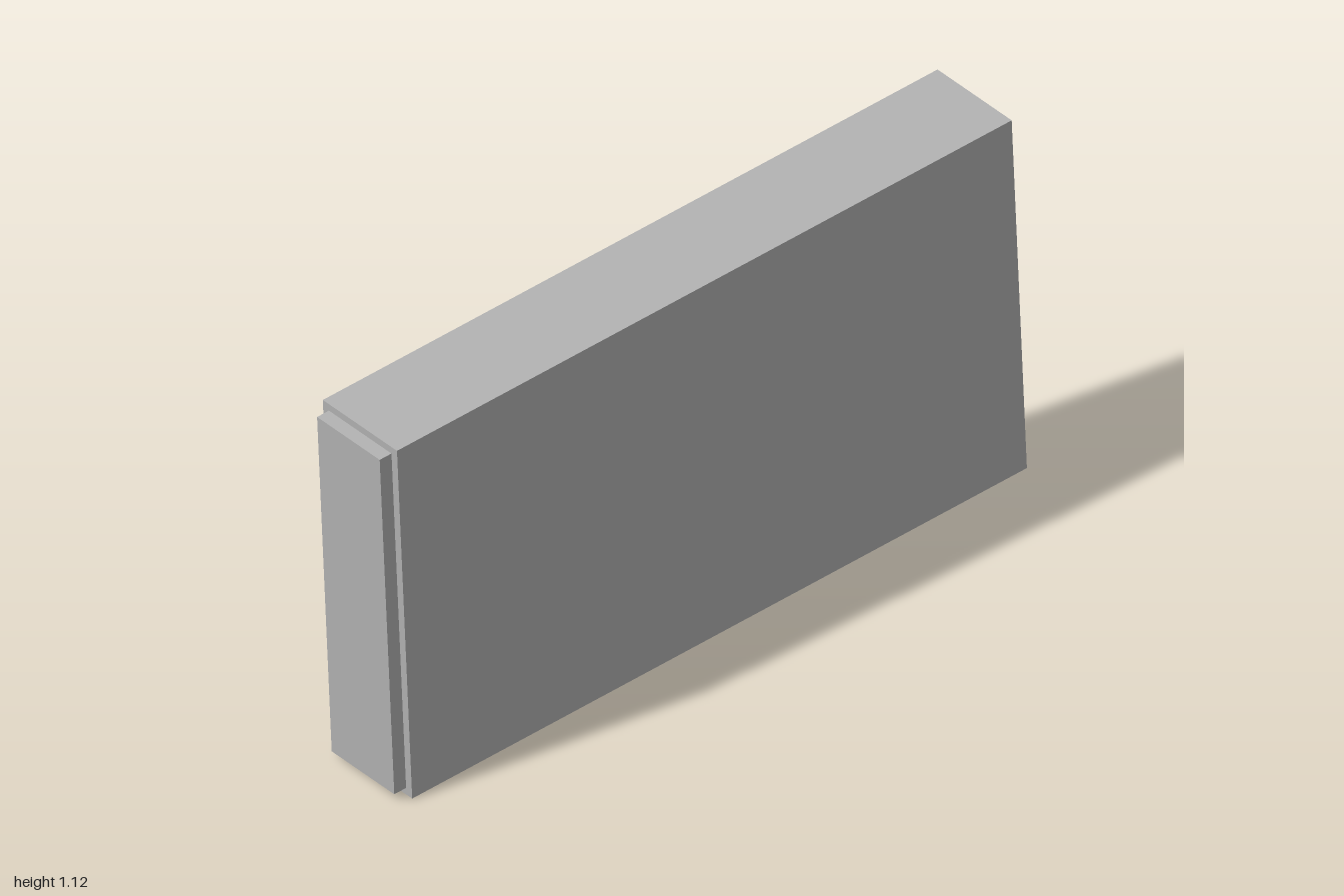
import * as THREE from 'three';

export function createModel() {
  const W = 1.926, H = 1.043, D = 0.275, T = 0.02;
  const COLS = 7, ROWS = 3;
  const grey = new THREE.MeshStandardMaterial({ color: 0xb2b2b2 });
  grey.name = 'plain grey';

  const model = new THREE.Group();
  model.name = 'tiltedBookcase';
  const bookcase = new THREE.Group();
  bookcase.name = 'bookcase';
  model.add(bookcase);

  function box(name, w, h, d, x, y, z, parent = bookcase) {
    const mesh = new THREE.Mesh(new THREE.BoxGeometry(w, h, d), grey);
    mesh.name = name;
    mesh.position.set(x, y, z);
    parent.add(mesh);
    return mesh;
  }

  // Seeded generator for the book sizes
  let seed = 7;
  const random = (min, max) => {
    seed = (seed * 16807) % 2147483647;
    return min + (max - min) * (seed / 2147483647);
  };

  // Outer case, closed at +z and open at -z
  box('closedPanel', W, H, T, 0, 0, D / 2 - T / 2);
  const innerDepth = D - T, innerZ = -T / 2;
  for (const s of [-1, 1]) {
    box('longSide', W, T, innerDepth, 0, s * (H - T) / 2, innerZ);
    box('endBoard', T, H - 2 * T, innerDepth, s * (W - T) / 2, 0, innerZ);
  }

  // Plinth at the -x end, inset all round
  box('plinth', 0.037, H - 0.04, 0.232, -W / 2 - 0.0185, 0, 0);

  // Dividers, set back a hair at the crossings
  const pitchX = (W - T) / COLS, pitchY = (H - T) / ROWS;
  for (let r = 1; r < ROWS; r++) {
    box('longDivider', W - 2 * T, T, innerDepth, 0, -H / 2 + T / 2 + r * pitchY, innerZ);
  }
  for (let c = 1; c < COLS; c++) {
    for (let r = 0; r < ROWS; r++) {
      box('shelf', T, pitchY - T, innerDepth,
        -W / 2 + T / 2 + c * pitchX, -H / 2 + T / 2 + (r + 0.5) * pitchY, innerZ);
    }
  }

  // Rows of books: feet against the -x shelf, thickness along y
  const empty = ['0,2', '6,2', '3,1'];
  for (let c = 0; c < COLS; c++) {
    for (let r = 0; r < ROWS; r++) {
      if (empty.includes(`${c},${r}`)) continue;
      const books = new THREE.Group();
      books.name = 'bookRow';
      bookcase.add(books);
      const x0 = -W / 2 + T + c * pitchX;
      const top = -H / 2 + (r + 1) * pitchY - 0.004;
      let y = -H / 2 + T + r * pitchY + 0.002;
      while (y < top - 0.014) {
        const thick = Math.min(random(0.014, 0.036), top - y);
        const tall = random(0.165, 0.225);
        const deep = random(0.1, 0.15);
        box('book', tall, thick - 0.001, deep,
          x0 + tall / 2, y + thick / 2, D / 2 - T - deep / 2, books);
        y += thick;
      }
    }
  }

  // Slight lean of the whole case
  bookcase.rotation.set(-0.0096, -0.0035, 0.0375);
  bookcase.position.set(0.02, 0.563, -0.001);
  return model;
}
